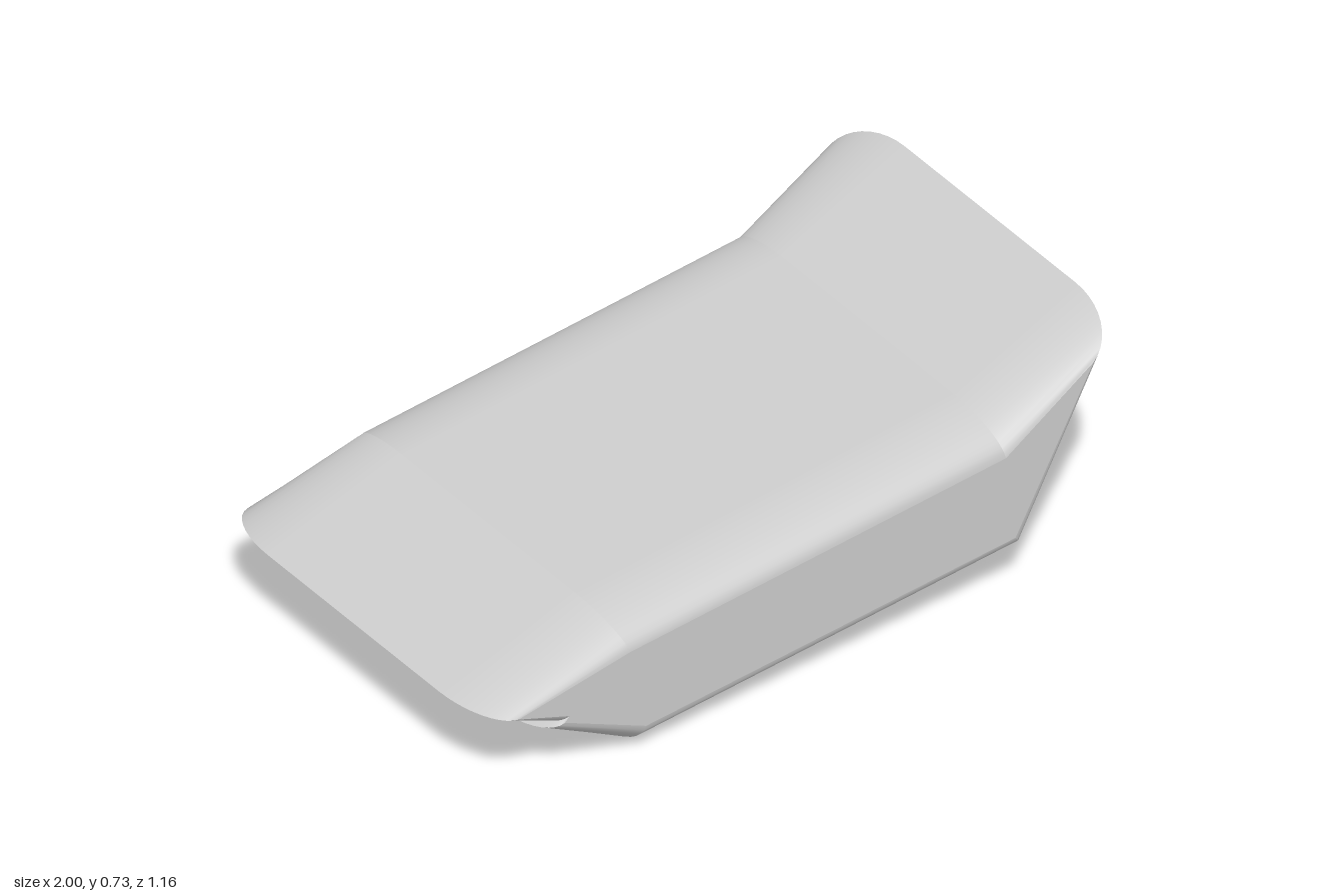
import * as THREE from 'three';

// Side outline (counter-clockwise seen from +z) at full size and where it meets the flat side
const OUTER = [[-1, 0.28], [-0.81, 0.183], [-0.83, 0.168], [-0.53, 0], [0.71, 0.125], [1, 0.725], [0.61, 0.545], [-0.58, 0.42]];
const INNER = [[-0.9, 0.27], [-0.74, 0.215], [-0.755, 0.2], [-0.5, 0.085], [0.66, 0.19], [0.905, 0.635], [0.63, 0.45], [-0.55, 0.335]];
const FLAT = 0.37, ROUND = 0.21, STEPS = 10;

// Cross-sections from +z to -z: rounded shoulder, straight middle, rounded shoulder
function stations() {
  const half = [];
  for (let i = STEPS; i >= 0; i--) {
    const a = (i / STEPS) * Math.PI / 2;
    half.push({ z: FLAT + ROUND * Math.sin(a), t: 1 - Math.cos(a) });
  }
  return [...half, ...half.slice().reverse().map(s => ({ z: -s.z, t: s.t }))];
}

// One long face of the body, smooth across z and sharp against its neighbours
function faceStrip(i) {
  const j = (i + 1) % OUTER.length, pos = [], index = [];
  const list = stations();
  for (const { z, t } of list) {
    for (const k of [i, j]) {
      pos.push(
        THREE.MathUtils.lerp(OUTER[k][0], INNER[k][0], t),
        THREE.MathUtils.lerp(OUTER[k][1], INNER[k][1], t), z);
    }
  }
  for (let s = 0; s < list.length - 1; s++) {
    const a = s * 2;
    index.push(a, a + 2, a + 1, a + 1, a + 2, a + 3);
  }
  const g = new THREE.BufferGeometry();
  g.setAttribute('position', new THREE.Float32BufferAttribute(pos, 3));
  g.setIndex(index);
  g.computeVertexNormals();
  return g;
}

export function createModel() {
  const model = new THREE.Group();
  model.name = 'body';
  const grey = new THREE.MeshStandardMaterial({ color: 0xcccccc, side: THREE.DoubleSide });
  grey.name = 'light grey';

  const names = ['tipUnderside', 'underLip', 'lowerSlope', 'bottom', 'raisedEnd', 'raisedTop', 'top', 'tipTop'];
  names.forEach((name, i) => {
    const mesh = new THREE.Mesh(faceStrip(i), grey);
    mesh.name = name;
    model.add(mesh);
  });

  // Flat sides closing the rounded shoulders
  const shape = new THREE.Shape(INNER.map(([x, y]) => new THREE.Vector2(x, y)));
  for (const s of [1, -1]) {
    const side = new THREE.Mesh(new THREE.ShapeGeometry(shape), grey);
    side.name = s > 0 ? 'frontSide' : 'backSide';
    if (s < 0) {
      // Reverse the winding so the back side faces -z
      const idx = side.geometry.index.array;
      for (let k = 0; k < idx.length; k += 3) [idx[k], idx[k + 1]] = [idx[k + 1], idx[k]];
      side.geometry.computeVertexNormals();
    }
    side.position.z = s * (FLAT + ROUND);
    model.add(side);
  }
  return model;
}
